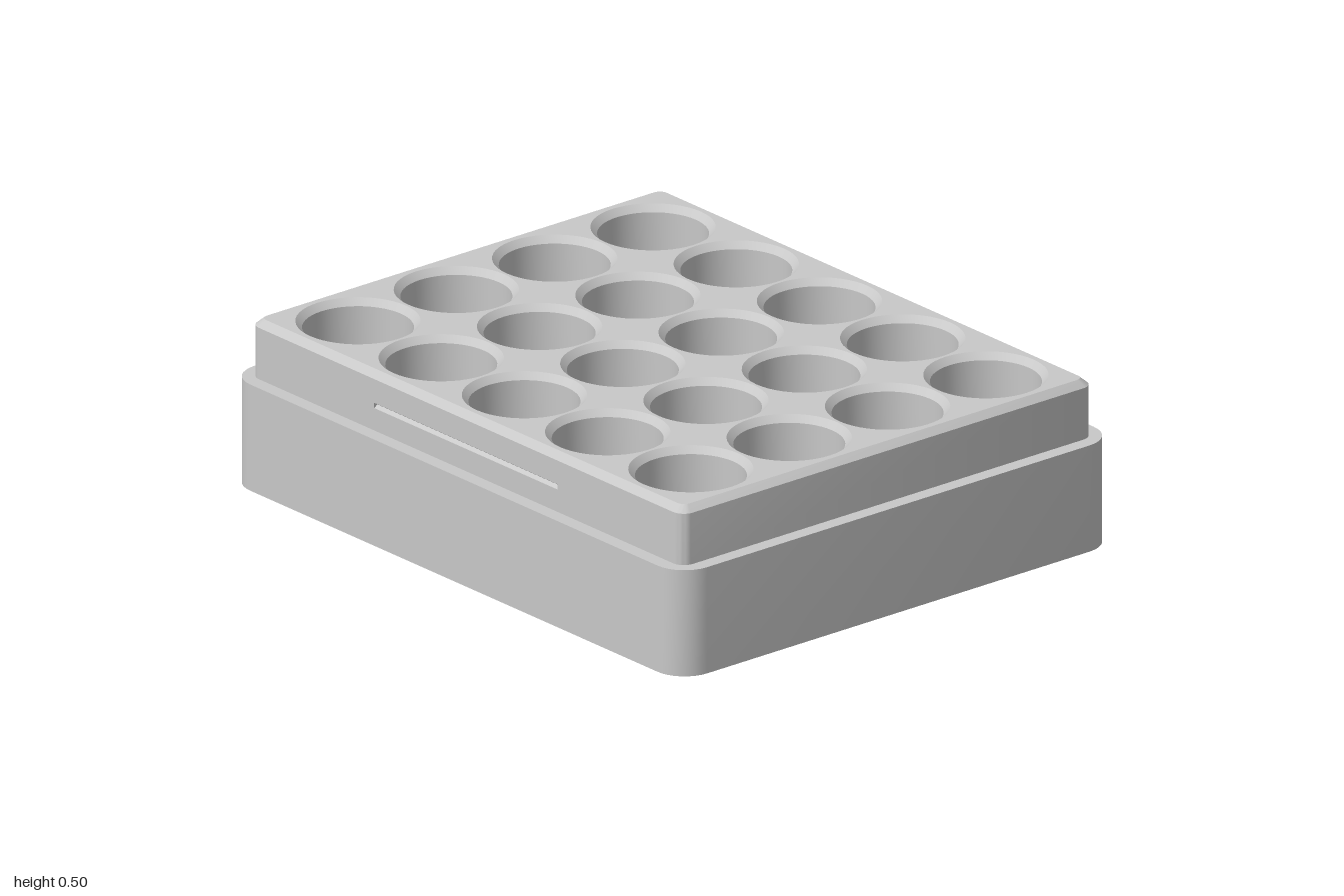
import * as THREE from 'three';
import { toCreasedNormals } from 'three/addons/utils/BufferGeometryUtils.js';

const CORNER = 8; // segments per rounded corner

// Outline of a rounded rectangle at height y, counter-clockwise from above.
function ring([hx, hz, r, y]) {
  const pts = [];
  const signs = [[1, -1], [-1, -1], [-1, 1], [1, 1]];
  signs.forEach(([sx, sz], k) => {
    for (let i = 0; i <= CORNER; i++) {
      const t = (k + i / CORNER) * Math.PI / 2;
      pts.push(new THREE.Vector3(sx * (hx - r) + r * Math.cos(t), y, sz * (hz - r) - r * Math.sin(t)));
    }
  });
  return pts;
}

// Skin through rounded rectangles; a zero-size section closes the end.
// openLevel leaves out the long front and back faces of that level.
function loft(sections, openLevel = -1) {
  const rings = sections.map(ring);
  const n = rings[0].length;
  const pos = [];
  const tri = (a, b, c) => {
    if (a.distanceTo(b) > 1e-6 && b.distanceTo(c) > 1e-6 && c.distanceTo(a) > 1e-6) {
      for (const p of [a, b, c]) pos.push(p.x, p.y, p.z);
    }
  };
  for (let j = 0; j < rings.length - 1; j++) {
    const a = rings[j], b = rings[j + 1];
    for (let i = 0; i < n; i++) {
      if (j === openLevel && (i === CORNER || i === 3 * CORNER + 2)) continue;
      const k = (i + 1) % n;
      tri(a[i], a[k], b[k]);
      tri(a[i], b[k], b[i]);
    }
  }
  const g = new THREE.BufferGeometry();
  g.setAttribute('position', new THREE.Float32BufferAttribute(pos, 3));
  g.computeVertexNormals();
  return toCreasedNormals(g, 0.6);
}

export function createModel() {
  const model = new THREE.Group();
  model.name = 'wellTray';
  const grey = new THREE.MeshStandardMaterial({ color: 0xc8c8c8 });
  grey.name = 'grey plastic';
  const add = (name, geometry, parent = model) => {
    const mesh = new THREE.Mesh(geometry, grey);
    mesh.name = name;
    parent.add(mesh);
    return mesh;
  };

  const HX = 0.955, HZ = 0.77, R = 0.04;
  const LEDGE = 0.327, RIM = 0.485, TOP = 0.505;

  // Wide base with a ledge around the tray
  add('base', loft([
    [0, 0, 0, 0], [1, 0.815, 0.1, 0], [1, 0.815, 0.1, LEDGE], [HX, HZ, R, LEDGE],
  ]));

  // Raised tray wall with a chamfered rim
  const topSection = [HX - 0.022, HZ - 0.022, 0.025, TOP];
  add('trayWall', loft([[HX, HZ, R, LEDGE], [HX, HZ, R, RIM], topSection], 0));

  // Long faces, each with a narrow V-shaped grip slot
  const slotX = 0.405, slotY = 0.404, slotH = 0.008;
  const face = new THREE.Shape();
  face.moveTo(-HX + R, LEDGE).lineTo(HX - R, LEDGE).lineTo(HX - R, RIM).lineTo(-HX + R, RIM).closePath();
  const slot = new THREE.Path();
  slot.moveTo(-slotX, slotY - slotH).lineTo(-slotX, slotY + slotH)
    .lineTo(slotX, slotY + slotH).lineTo(slotX, slotY - slotH).closePath();
  face.holes.push(slot);
  const faceGeo = new THREE.ShapeGeometry(face);
  const slotGeo = loft([[slotX, slotH, 0, 0], [slotX, 0, 0, -0.012]]);
  slotGeo.rotateX(Math.PI / 2);
  for (const [name, turn] of [['frontFace', 0], ['backFace', Math.PI]]) {
    const side = new THREE.Group();
    side.name = name;
    side.rotation.y = turn;
    add('slottedPanel', faceGeo, side).position.z = HZ;
    add('gripSlot', slotGeo, side).position.set(0, slotY, HZ);
    model.add(side);
  }

  // Top deck pierced by the grid of wells
  const pitch = 0.3675, wellR = 0.16, mouthR = 0.179;
  const deck = new THREE.Shape(ring(topSection).map((p) => new THREE.Vector2(p.x, -p.z)));
  const profile = [[mouthR, TOP], [wellR, RIM], [wellR, 0.1], [0, 0.1]].map(([x, y]) => new THREE.Vector2(x, y));
  const wellGeo = toCreasedNormals(new THREE.LatheGeometry(profile, 48), 0.6);
  const wells = new THREE.Group();
  wells.name = 'wells';
  model.add(wells);
  for (let row = 0; row < 4; row++) {
    for (let col = 0; col < 5; col++) {
      const x = (col - 2) * pitch, z = (row - 1.5) * pitch;
      deck.holes.push(new THREE.Path().absarc(x, -z, mouthR, 0, Math.PI * 2, true));
      add('well', wellGeo, wells).position.set(x, 0, z);
    }
  }
  const deckGeo = new THREE.ShapeGeometry(deck, 24).rotateX(-Math.PI / 2);
  add('topDeck', deckGeo).position.y = TOP;

  return model;
}
